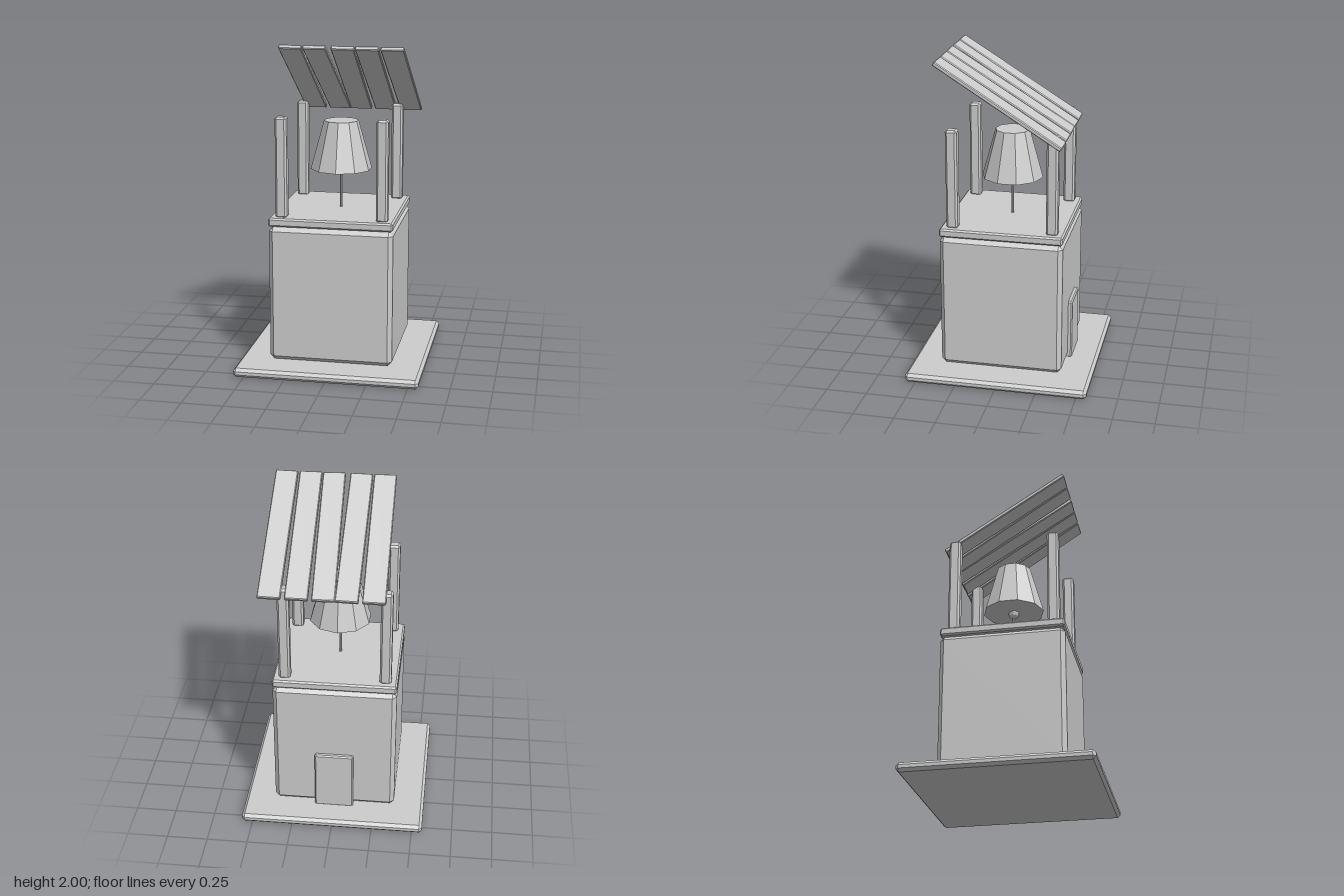
import * as THREE from 'three';
import { ConvexGeometry } from 'three/addons/geometries/ConvexGeometry.js';

// Box with a single flat chamfer of size b on every edge
function chamferBox(w, h, d, b) {
  const points = [];
  for (const sx of [-1, 1]) for (const sy of [-1, 1]) for (const sz of [-1, 1]) {
    for (let axis = 0; axis < 3; axis++) {
      const inset = [b, b, b];
      inset[axis] = 0;
      points.push(new THREE.Vector3(
        sx * (w / 2 - inset[0]), sy * (h / 2 - inset[1]), sz * (d / 2 - inset[2])));
    }
  }
  return new ConvexGeometry(points);
}

export function createModel() {
  const model = new THREE.Group();
  model.name = 'bellTower';
  const stone = new THREE.MeshStandardMaterial({ color: 0xcccccc, flatShading: true });
  stone.name = 'paleGrey';

  function add(parent, name, geometry, x, y, z) {
    const mesh = new THREE.Mesh(geometry, stone);
    mesh.name = name;
    mesh.position.set(x, y, z);
    parent.add(mesh);
    return mesh;
  }

  // Tower: ground slab, body, upper floor and rear door
  add(model, 'baseSlab', chamferBox(1.13, 0.056, 1.13, 0.018), 0, 0.028, 0);
  add(model, 'towerBody', chamferBox(0.755, 0.84, 0.755, 0.026), 0, 0.48, 0);
  add(model, 'upperFloor', chamferBox(0.755, 0.052, 0.755, 0.01), 0, 0.93, 0);
  add(model, 'door', chamferBox(0.24, 0.385, 0.05, 0.008), 0, 0.243, -0.378);

  // Four corner posts
  for (const x of [-1, 1]) for (const z of [-1, 1]) {
    const name = (z > 0 ? 'front' : 'back') + (x > 0 ? 'Left' : 'Right') + 'Post';
    add(model, name, chamferBox(0.07, 0.615, 0.07, 0.012), x * 0.305, 1.257, z * 0.305);
  }

  // Bell with clapper and hanging rope
  const bell = new THREE.Group();
  bell.name = 'bell';
  model.add(bell);
  add(bell, 'bellShell', new THREE.CylinderGeometry(0.107, 0.19, 0.3, 10), 0, 1.35, 0);
  add(bell, 'clapper', new THREE.SphereGeometry(0.034, 10, 6), 0, 1.192, 0);
  add(bell, 'rope', new THREE.CylinderGeometry(0.008, 0.008, 0.24, 8), 0, 1.07, 0);

  // Sloping roof of slightly crooked planks: [x, yaw]
  const roof = new THREE.Group();
  roof.name = 'roof';
  roof.position.y = 1.755;
  roof.rotation.x = -0.555;
  model.add(roof);
  const planks = [[-0.233, 0], [-0.082, -0.018], [0.069, 0.017], [0.219, -0.001], [0.373, -0.016]];
  planks.forEach(([x, yaw], i) => {
    const plank = add(roof, 'roofPlank' + (i + 1), chamferBox(0.137, 0.026, 0.884, 0.005), x, 0, 0);
    plank.rotation.y = yaw;
  });

  return model;
}
